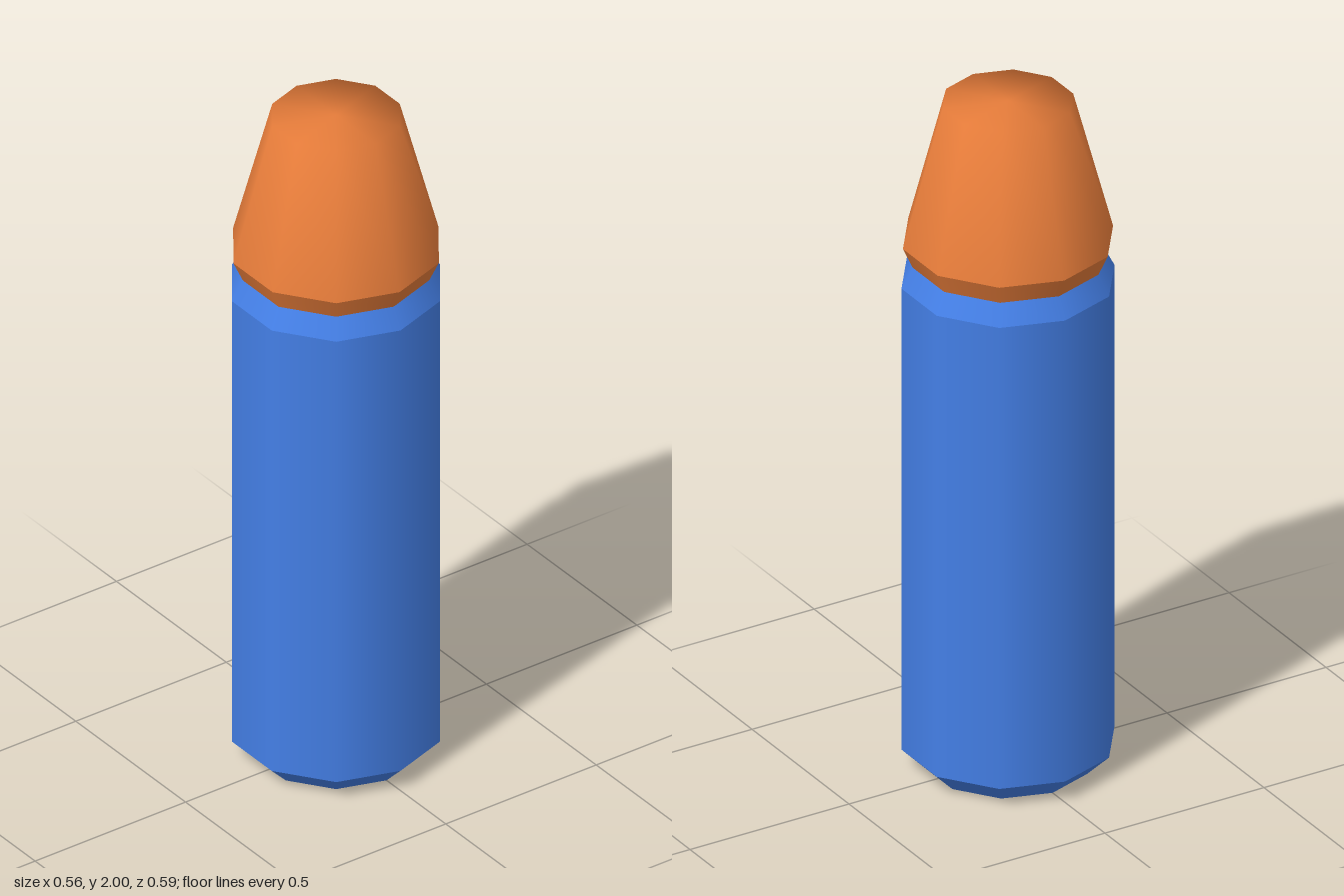
import * as THREE from 'three';
import { mergeGeometries } from 'three/addons/utils/BufferGeometryUtils.js';

const SIDES = 10;

// Each band is a ten-sided lathe, smooth inside and creased against its neighbours
function turned(name, material, bands) {
  const parts = bands.map((points) =>
    new THREE.LatheGeometry(points.map(([r, y]) => new THREE.Vector2(r, y)), SIDES));
  const mesh = new THREE.Mesh(mergeGeometries(parts), material);
  mesh.name = name;
  return mesh;
}

export function createModel() {
  const blue = new THREE.MeshStandardMaterial({ color: 0x447fe6 });
  blue.name = 'blue casing';
  const orange = new THREE.MeshStandardMaterial({ color: 0xe67c3a });
  orange.name = 'orange tip';

  const group = new THREE.Group();
  group.name = 'dart';

  // Casing: flat base, bottom chamfer, long wall, shoulder chamfer
  group.add(turned('casing', blue, [
    [[0, 0], [0.23, 0]],
    [[0.23, 0], [0.294, 0.063]],
    [[0.294, 0.063], [0.294, 1.465]],
    [[0.294, 1.465], [0.263, 1.525]],
  ]));

  // Tip: flared collar, then a taper that blends into the flat top
  group.add(turned('tip', orange, [
    [[0.263, 1.525], [0.29, 1.585]],
    [[0.29, 1.585], [0.18, 2], [0, 2]],
  ]));

  return group;
}
